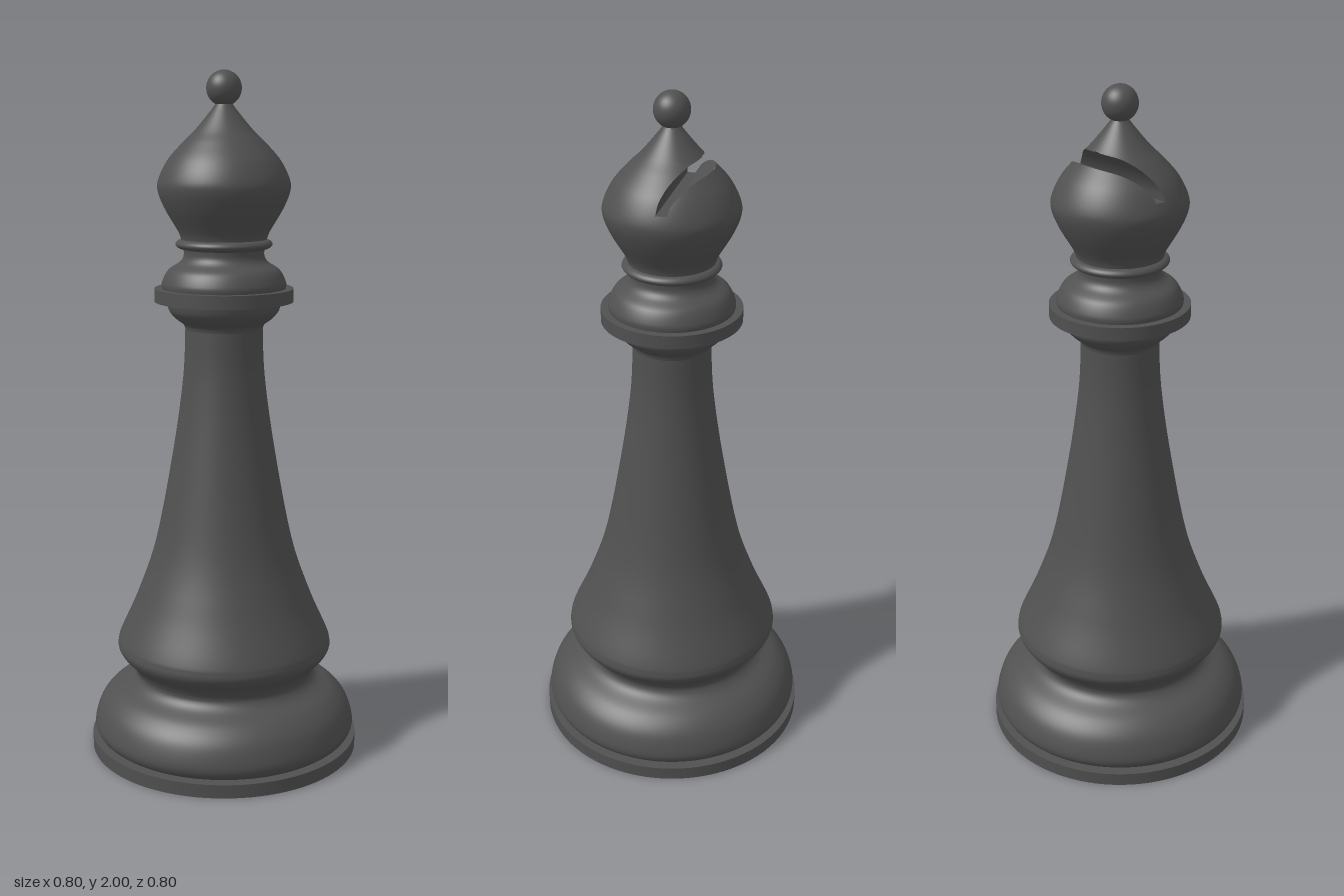
import * as THREE from 'three';

const charcoal = new THREE.MeshStandardMaterial({ color: 0x505050 });
charcoal.name = 'charcoal';

const curve = (pts) => new THREE.SplineCurve(pts.map(([a, b]) => new THREE.Vector2(a, b)));

// Look up the first coordinate of a curve at a given height
function byHeight(pts) {
  const s = curve(pts).getPoints(240);
  return (y) => {
    let i = 1;
    while (i < s.length - 1 && s[i].y < y) i++;
    const t = THREE.MathUtils.clamp((y - s[i - 1].y) / (s[i].y - s[i - 1].y), 0, 1);
    return THREE.MathUtils.lerp(s[i - 1].x, s[i].x, t);
  };
}

// Grid surface: at(u, v) gives a point, u runs to the right and v upward seen from outside
function patch(cols, rows, at, normalAt) {
  const pos = [], nor = [], idx = [];
  for (let j = 0; j <= rows; j++) {
    for (let i = 0; i <= cols; i++) {
      pos.push(...at(i / cols, j / rows));
      if (normalAt) nor.push(...normalAt(i / cols, j / rows));
      if (i < cols && j < rows) {
        const a = j * (cols + 1) + i, b = a + cols + 1;
        idx.push(a, a + 1, b + 1, a, b + 1, b);
      }
    }
  }
  const g = new THREE.BufferGeometry();
  g.setAttribute('position', new THREE.Float32BufferAttribute(pos, 3));
  g.setIndex(idx);
  if (normalAt) g.setAttribute('normal', new THREE.Float32BufferAttribute(nor, 3));
  else g.computeVertexNormals();
  return g;
}

// Head outline as [radius, height]; slot edges as [z, height]
const radius = byHeight([[0.122, 1.525], [0.13, 1.55], [0.168, 1.615], [0.188, 1.665], [0.186, 1.70],
  [0.16, 1.752], [0.118, 1.80], [0.085, 1.832], [0.05, 1.873], [0.022, 1.91], [0.018, 1.93]]);
const SLOT = 1.72;
const slotFront = byHeight([[0, SLOT], [-0.005, 1.752], [-0.026, 1.789], [-0.058, 1.82], [-0.084, 1.831], [-0.1, 1.837]]);
const slotBack = byHeight([[-0.031, SLOT], [-0.037, 1.742], [-0.058, 1.768], [-0.085, 1.788], [-0.116, 1.80], [-0.13, 1.806]]);
const halfWidth = (y, z) => Math.sqrt(Math.max(0, radius(y) ** 2 - z * z));
const angle = (c) => Math.acos(THREE.MathUtils.clamp(c, -1, 1));

// Turned skin between two heights, spanning +-half(y) around a middle angle
function skin(y0, y1, rows, middle, half) {
  const polar = (u, v) => {
    const y = THREE.MathUtils.lerp(y0, y1, v);
    return [y, middle + (2 * u - 1) * half(y)];
  };
  return patch(96, rows, (u, v) => {
    const [y, a] = polar(u, v), r = radius(y);
    return [r * Math.sin(a), y, r * Math.cos(a)];
  }, (u, v) => {
    const [y, a] = polar(u, v), e = 0.006;
    const lo = Math.max(y - e, 1.525), hi = Math.min(y + e, 1.93);
    const slope = (radius(hi) - radius(lo)) / (hi - lo);
    return new THREE.Vector3(Math.sin(a), -slope, Math.cos(a)).normalize().toArray();
  });
}

// Inner slot wall running straight through the head; side sets which way it faces
function wall(y1, edge, side) {
  return patch(8, 40, (u, v) => {
    const y = THREE.MathUtils.lerp(SLOT, y1, v), z = Math.max(edge(y), -radius(y));
    return [side * (2 * u - 1) * halfWidth(y, z), y, z];
  });
}

export function createModel() {
  const model = new THREE.Group();
  model.name = 'bishopPiece';
  const add = (name, geometry, y = 0, parent = model) => {
    const m = new THREE.Mesh(geometry, charcoal);
    m.name = name;
    m.position.y = y;
    parent.add(m);
  };
  const turned = (name, pts, steps = 40) =>
    add(name, new THREE.LatheGeometry(curve(pts).getPoints(steps), 96));
  const disc = (name, r, y0, y1) =>
    add(name, new THREE.CylinderGeometry(r, r, y1 - y0, 96), (y0 + y1) / 2);

  // Foot
  disc('basePlate', 0.4, 0, 0.04);
  turned('baseMoulding', [[0.365, 0.038], [0.385, 0.055], [0.391, 0.085], [0.372, 0.14], [0.335, 0.18],
    [0.285, 0.207], [0.267, 0.228], [0.268, 0.245]]);

  // Flared stem
  turned('stemSkirt', [[0.268, 0.243], [0.28, 0.264], [0.305, 0.29], [0.318, 0.312], [0.318, 0.332],
    [0.308, 0.362], [0.256, 0.48], [0.201, 0.645], [0.149, 0.915], [0.119, 1.13], [0.112, 1.275]], 80);

  // Collar
  turned('lowerCollar', [[0.112, 1.272], [0.118, 1.287], [0.138, 1.302], [0.158, 1.325], [0.165, 1.352]]);
  disc('collarDisc', 0.2, 1.352, 1.39);
  turned('upperCollar', [[0.178, 1.388], [0.178, 1.408], [0.16, 1.442], [0.128, 1.464], [0.116, 1.482], [0.116, 1.505]]);
  turned('neckRing', [[0.112, 1.5], [0.13, 1.505], [0.139, 1.515], [0.132, 1.526], [0.115, 1.532]], 20);

  // Slotted head
  const head = new THREE.Group();
  head.name = 'head';
  model.add(head);
  const top = 1.836;
  add('lowerHead', skin(1.525, SLOT, 36, 0, () => Math.PI), 0, head);
  add('headFront', skin(SLOT, top, 48, 0, (y) => angle(slotFront(y) / radius(y))), 0, head);
  add('headBack', skin(SLOT, 1.806, 48, Math.PI, (y) => angle(-slotBack(y) / radius(y))), 0, head);
  add('upperHead', skin(top, 1.93, 20, 0, () => Math.PI), 0, head);
  add('slotFrontWall', wall(top, slotFront, -1), 0, head);
  add('slotBackWall', wall(1.806, slotBack, 1), 0, head);
  add('slotFloor', patch(8, 4, (u, v) => {
    const z = THREE.MathUtils.lerp(slotFront(SLOT), slotBack(SLOT), v);
    return [(2 * u - 1) * halfWidth(SLOT, z), SLOT, z];
  }), 0, head);

  // Finial
  add('finialBall', new THREE.SphereGeometry(0.05, 48, 32), 1.95);
  return model;
}
